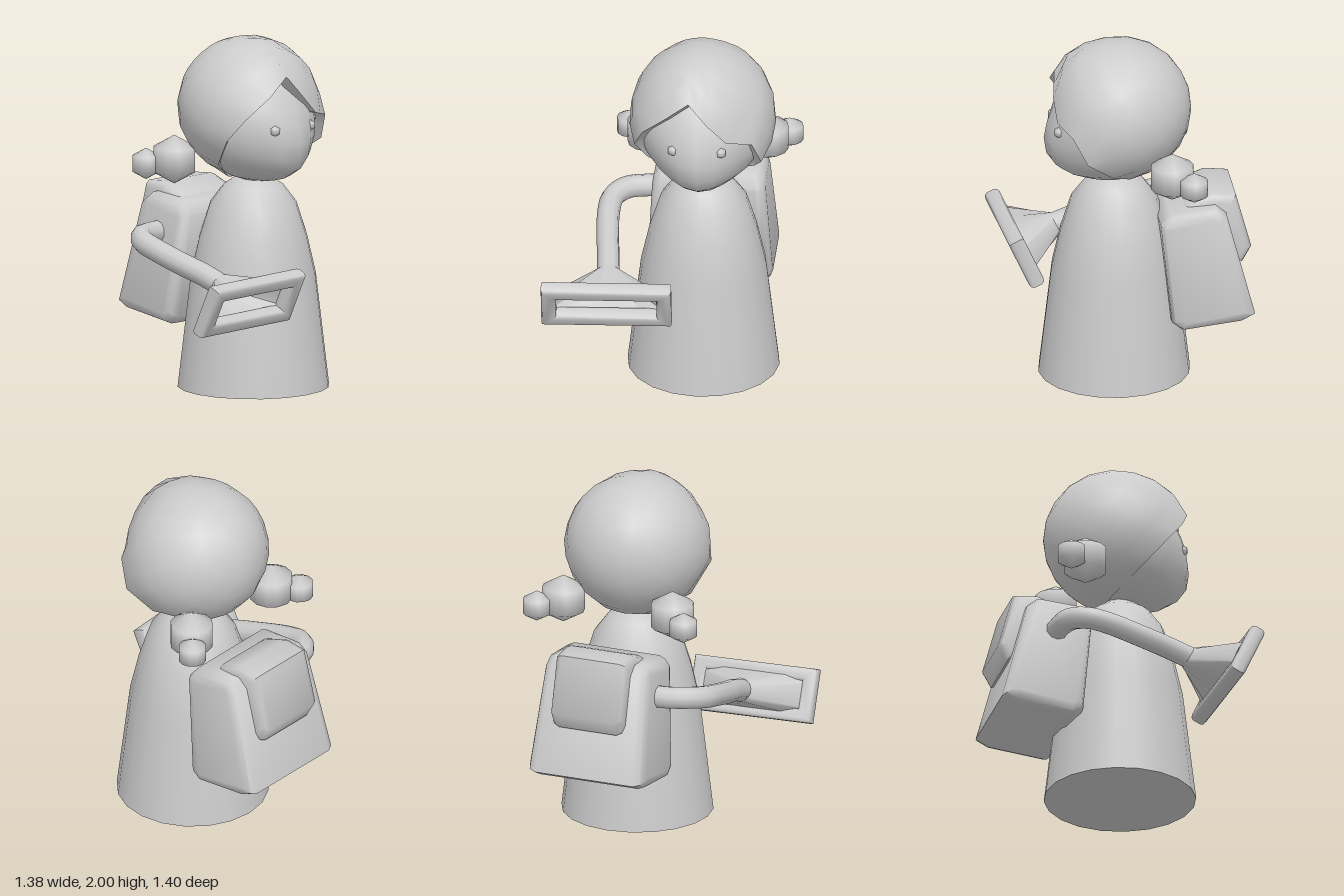
import * as THREE from 'three';
import { toCreasedNormals } from 'three/addons/utils/BufferGeometryUtils.js';

const V = (x, y, z) => new THREE.Vector3(x, y, z);
const CZ = -0.165; // middle plane of the figure

// Skin a list of closed rings, each with the same number of points
function loft(rings) {
  const n = rings[0].length, pos = [], idx = [];
  rings.forEach(r => r.forEach(p => pos.push(p.x, p.y, p.z)));
  for (let i = 0; i < rings.length - 1; i++) {
    for (let j = 0; j < n; j++) {
      const a = i * n + j, b = i * n + (j + 1) % n;
      idx.push(a, b, a + n, b, b + n, a + n);
    }
  }
  const g = new THREE.BufferGeometry();
  g.setAttribute('position', new THREE.Float32BufferAttribute(pos, 3));
  g.setIndex(idx);
  g.computeVertexNormals();
  return g;
}

// Bevelled slab: xy outline (already inset by the bevel) extruded symmetrically in z
function slab(points, width, bevel, hole) {
  const shape = new THREE.Shape(points.map(p => new THREE.Vector2(...p)));
  if (hole) shape.holes.push(new THREE.Path(hole.map(p => new THREE.Vector2(...p))));
  const depth = width - 2 * bevel;
  const g = new THREE.ExtrudeGeometry(shape, {
    depth, bevelEnabled: true, bevelSize: bevel, bevelThickness: bevel, bevelSegments: 2,
  });
  return g.translate(0, 0, -depth / 2);
}

const rect = (w, h) => [[-w / 2, -h / 2], [w / 2, -h / 2], [w / 2, h / 2], [-w / 2, h / 2]];

function hairGeometry() {
  const c = V(0.02, 1.6, CZ);
  const pole = V(-0.86, 0.5, 0).normalize();
  const quiff = V(0.75, 0.66, 0);
  // edge of the hair around the face, starting at the parting
  const edge = [
    [0.39, 1.82, -0.115], [0.4, 1.72, 0.02], [0.34, 1.6, 0.15], [0.24, 1.47, 0.205],
    [0.1, 1.31, 0.14], [-0.02, 1.2, -0.05], [-0.03, 1.19, CZ], [-0.02, 1.2, -0.28],
    [0.1, 1.29, -0.46], [0.25, 1.4, -0.515], [0.33, 1.55, -0.47], [0.4, 1.59, -0.33],
    [0.41, 1.7, -0.22],
  ].map(p => V(...p).sub(c));
  const rim = edge.flatMap((p, i) => [p, p.clone().lerp(edge[(i + 1) % edge.length], 0.5)]);
  const radius = d => 0.398 * (1 + 0.1 * Math.max(0, d.dot(quiff)) ** 8);
  const rings = [];
  const N = 7;
  for (let i = 0; i <= N; i++) {
    const t = i / N;
    rings.push(rim.map(p => {
      const end = p.clone().normalize();
      const a = pole.angleTo(end);
      const d = pole.clone().multiplyScalar(Math.sin((1 - t) * a))
        .addScaledVector(end, Math.sin(t * a)).normalize();
      const k = p.length() / radius(end);
      return d.clone().multiplyScalar(radius(d) * (1 + (k - 1) * t ** 4)).add(c);
    }));
  }
  rings.push(rim.map(p => p.clone().multiplyScalar(0.82).add(c))); // thickness turned inwards
  return toCreasedNormals(loft(rings), 0.9);
}

function faceGeometry() {
  const g = new THREE.SphereGeometry(1, 20, 14);
  const p = g.attributes.position, d = V(0, 0, 0), muzzle = V(0.88, -0.47, 0);
  for (let i = 0; i < p.count; i++) {
    d.fromBufferAttribute(p, i).normalize();
    const f = 1 + 0.26 * Math.max(0, d.dot(muzzle)) ** 6;
    p.setXYZ(i, 0.08 + d.x * 0.32 * f, 1.53 + d.y * 0.345 * f, CZ + d.z * 0.355);
  }
  g.computeVertexNormals();
  return g;
}

export function createModel() {
  const group = new THREE.Group();
  const grey = new THREE.MeshStandardMaterial({ color: 0xcccccc });
  const thin = new THREE.MeshStandardMaterial({ color: 0xcccccc, side: THREE.DoubleSide });
  const add = (name, geo, mat = grey, parent = group) => {
    const m = new THREE.Mesh(geo, mat);
    m.name = name;
    parent.add(m);
    return m;
  };

  // Bell-shaped body with a flat base
  const profile = [[0.43, 0], [0.355, 0.64], [0.305, 0.86], [0.245, 1.05], [0.17, 1.15], [0.09, 1.205], [0, 1.21]];
  const body = add('body', new THREE.LatheGeometry(profile.map(p => new THREE.Vector2(...p)), 20));
  body.position.set(0.058, 0, -0.17);
  const base = add('bodyBase', new THREE.CircleGeometry(0.43, 20).rotateX(Math.PI / 2));
  base.position.copy(body.position);

  // Head
  add('face', faceGeometry());
  add('hair', hairGeometry(), thin);
  for (const s of [1, -1]) {
    const side = s > 0 ? 'left' : 'right';
    const ball = (name, r, x, y, z, seg) =>
      add(side + name, new THREE.SphereGeometry(r, seg, 3)).position.set(x, y, CZ + s * z);
    ball('Eye', 0.033, 0.385, 1.52, 0.135, 8);
    ball('BunLarge', 0.14, -0.23, 1.3, 0.335, 12);
    ball('BunSmall', 0.09, -0.34, 1.275, 0.45, 12);
  }

  // Backpack, a tilted bevelled slab narrowing upwards
  const packGeo = slab([[-0.64, 0.45], [-0.61, 0.435], [-0.31, 0.4], [-0.285, 0.42],
    [-0.23, 0.96], [-0.255, 0.99], [-0.47, 1.01], [-0.5, 0.985]], 0.71, 0.055);
  const pp = packGeo.attributes.position;
  for (let i = 0; i < pp.count; i++) {
    const t = THREE.MathUtils.clamp((pp.getY(i) - 0.4) / 0.66, 0, 1);
    pp.setZ(i, pp.getZ(i) * (1 - 0.13 * t * t));
  }
  add('backpack', toCreasedNormals(packGeo, 0.9)).position.z = -0.17;

  // Flap over the top and back of the pack
  const flapGeo = slab([[-0.625, 0.745], [-0.45, 0.8], [-0.34, 1.0], [-0.36, 1.03],
    [-0.48, 1.075], [-0.575, 1.065], [-0.65, 0.79]], 0.44, 0.045);
  add('backpackFlap', toCreasedNormals(flapGeo, 0.9)).position.z = -0.17;

  // Hose from the pack round the left side
  const path = new THREE.CatmullRomCurve3([
    V(-0.385, 0.86, 0.02), V(-0.385, 0.86, 0.2), V(-0.345, 0.86, 0.31), V(-0.26, 0.845, 0.375),
    V(-0.15, 0.82, 0.388), V(0.05, 0.765, 0.375), V(0.2, 0.725, 0.355), V(0.335, 0.68, 0.342),
  ]);
  add('hose', new THREE.TubeGeometry(path, 32, 0.064, 10), thin);

  // Nozzle: rectangular frame with a funnel leading back to the hose
  const nozzle = new THREE.Group();
  nozzle.name = 'nozzle';
  nozzle.rotation.set(0.43, Math.PI / 2 + 0.07, 0, 'YXZ');
  nozzle.position.set(0.558, 0.605, 0.33);
  group.add(nozzle);
  nozzle.updateMatrixWorld(true);
  const frame = slab(rect(0.69, 0.265), 0.09, 0.022, rect(0.61, 0.2));
  add('nozzleFrame', toCreasedNormals(frame, 0.9), grey, nozzle);

  const throat = nozzle.worldToLocal(V(0.325, 0.683, 0.342));
  const small = [], wide = [];
  for (let i = 0; i < 16; i++) {
    const a = (i + 0.5) / 16 * Math.PI * 2, c = Math.cos(a), s = Math.sin(a);
    small.push(V(throat.x + 0.066 * c, throat.y + 0.066 * s, throat.z));
    const k = 1 / Math.max(Math.abs(c), Math.abs(s)); // circle pushed out to a rectangle
    wide.push(V(0.31 * c * k, 0.11 * s * k, -0.02));
  }
  add('nozzleFunnel', toCreasedNormals(loft([small, wide]), 0.7), thin, nozzle);

  return group;
}
